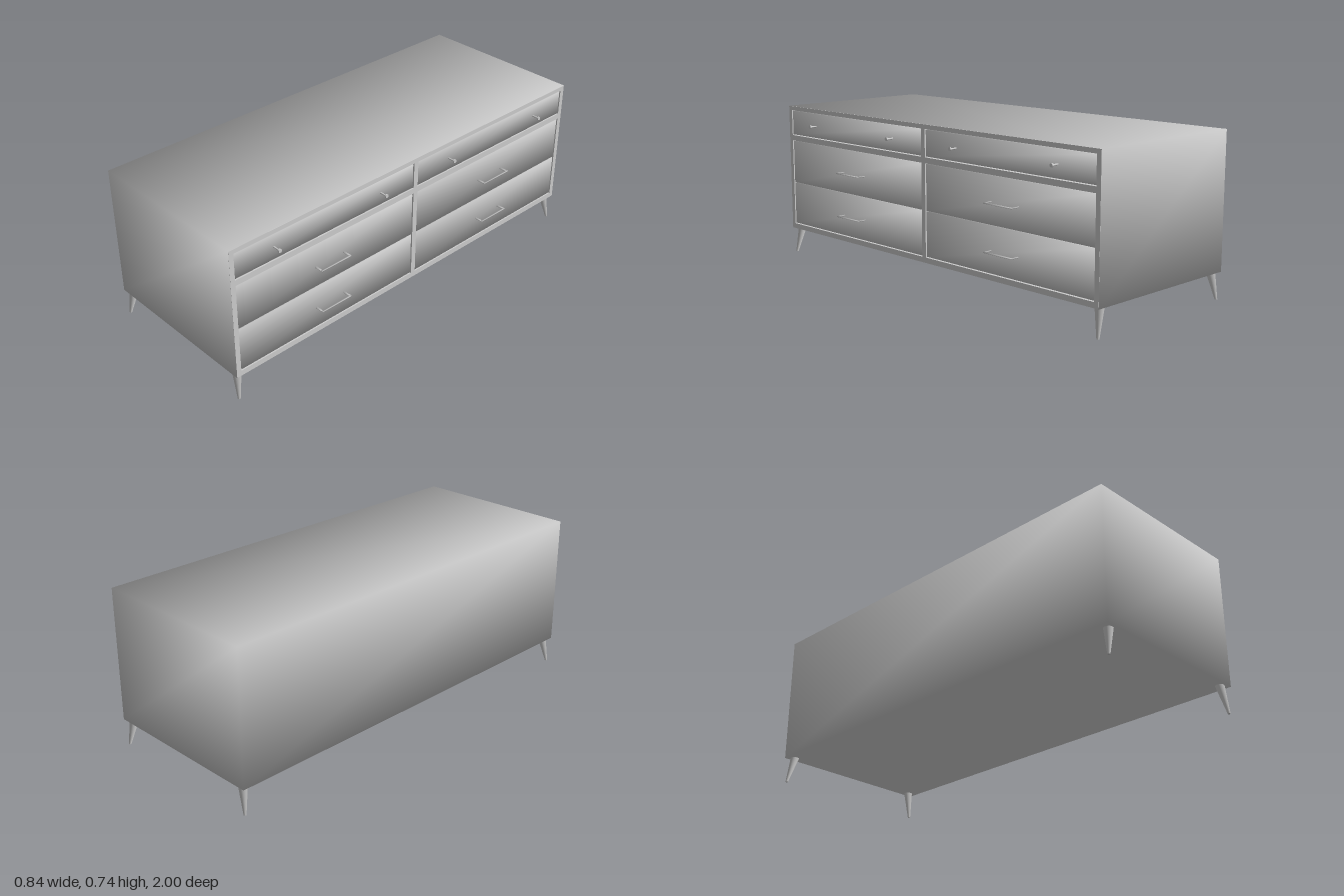
import * as THREE from 'three';

const material = new THREE.MeshStandardMaterial({ color: 0xcccccc });

// Main dimensions: drawers face +x, length runs along z
const BACK = -0.422, FACE = 0.382, RECESS = 0.02, BASE = 0.122, TOP = 0.735;
const IN = 0.012, OUT = 0.977; // |z| limits of each drawer bay
const PANEL = FACE - RECESS;

function add(parent, name, geometry, x = 0, y = 0, z = 0) {
  const mesh = new THREE.Mesh(geometry, material);
  mesh.name = name;
  mesh.position.set(x, y, z);
  parent.add(mesh);
  return mesh;
}

// Box given by its min and max corners, shaded smoothly across its edges:
// every corner normal points diagonally outward
function addSoftBox(parent, name, [x0, y0, z0], [x1, y1, z1]) {
  const geometry = new THREE.BoxGeometry(x1 - x0, y1 - y0, z1 - z0);
  const p = geometry.attributes.position, n = geometry.attributes.normal;
  const k = 1 / Math.sqrt(3);
  for (let i = 0; i < p.count; i++) {
    n.setXYZ(i, k * Math.sign(p.getX(i)), k * Math.sign(p.getY(i)), k * Math.sign(p.getZ(i)));
  }
  return add(parent, name, geometry, (x0 + x1) / 2, (y0 + y1) / 2, (z0 + z1) / 2);
}

function rectangle(target, x0, y0, x1, y1) {
  target.moveTo(x0, y0).lineTo(x1, y0).lineTo(x1, y1).lineTo(x0, y1).closePath();
  return target;
}

// Round knob on a thin stem, pointing along +x
function makeKnob() {
  const knob = new THREE.Group();
  knob.name = 'drawerKnob';
  const stem = new THREE.CylinderGeometry(0.0035, 0.0035, 0.05, 16).rotateZ(-Math.PI / 2);
  const head = new THREE.CylinderGeometry(0.008, 0.008, 0.007, 16).rotateZ(-Math.PI / 2);
  add(knob, 'knobStem', stem, 0.025);
  add(knob, 'knobHead', head, 0.0525);
  return knob;
}

// Bracket pull: two posts and a bar
function makePull() {
  const pull = new THREE.Group();
  pull.name = 'drawerPull';
  const high = 0.0025, thick = 0.007, half = 0.081, reach = 0.06;
  for (const s of [-1, 1]) {
    const z = s * (half - thick / 2);
    addSoftBox(pull, 'pullPost', [0, -high, z - thick / 2], [reach - thick, high, z + thick / 2]);
  }
  addSoftBox(pull, 'pullBar', [reach - thick, -high, -half], [reach, high, half]);
  return pull;
}

// Tapered leg whose foot is splayed outward by (dx, dz)
function makeLeg(dx, dz) {
  const geometry = new THREE.CylinderGeometry(0.02, 0.006, BASE, 20).translate(0, BASE / 2, 0);
  const p = geometry.attributes.position;
  for (let i = 0; i < p.count; i++) {
    const k = 1 - p.getY(i) / BASE;
    p.setX(i, p.getX(i) + dx * k);
    p.setZ(i, p.getZ(i) + dz * k);
  }
  return geometry;
}

export function createModel() {
  const model = new THREE.Group();
  model.name = 'dresser';

  // Cabinet shell, open on its +x side (the first two triangles of the box)
  const shell = addSoftBox(model, 'cabinetShell', [BACK, BASE, -1], [FACE, TOP, 1]).geometry;
  shell.setIndex(Array.from(shell.index.array).slice(6));

  // Panel closing the gaps behind the drawer fronts
  const panel = new THREE.BoxGeometry(0.01, TOP - BASE - 0.01, 1.99);
  add(model, 'innerPanel', panel, PANEL - 0.005, (BASE + TOP) / 2);

  // Face frame with a small and a large opening on each side, just inside the shell
  const e = 0.0005;
  const frame = rectangle(new THREE.Shape(), e - 1, BASE + e, 1 - e, TOP - e);
  for (const [y0, y1] of [[0.147, 0.566], [0.592, 0.715]]) {
    frame.holes.push(rectangle(new THREE.Path(), -OUT, y0, -IN, y1));
    frame.holes.push(rectangle(new THREE.Path(), IN, y0, OUT, y1));
  }
  const frameGeometry = new THREE.ExtrudeGeometry(frame, { depth: RECESS, bevelEnabled: false });
  add(model, 'faceFrame', frameGeometry.rotateY(Math.PI / 2), PANEL);

  // Drawer fronts, two bays of three, almost flush with the frame
  const drawers = [
    { y0: 0.151, y1: 0.353, handle: makePull, handleY: 0.248, offsets: [0] },
    { y0: 0.357, y1: 0.562, handle: makePull, handleY: 0.454, offsets: [0] },
    { y0: 0.596, y1: 0.711, handle: makeKnob, handleY: 0.652, offsets: [-0.287, 0.287] },
  ];
  const front = FACE - 0.003;
  for (const side of [-1, 1]) {
    const middle = side * (IN + OUT) / 2;
    const half = (OUT - IN) / 2 - 0.004;
    for (const { y0, y1, handle, handleY, offsets } of drawers) {
      addSoftBox(model, 'drawerFront', [PANEL, y0, middle - half], [front, y1, middle + half]);
      for (const offset of offsets) {
        const part = handle();
        part.position.set(PANEL, handleY, middle + offset);
        model.add(part);
      }
    }
  }

  // Splayed legs near the corners
  for (const z of [-1, 1]) {
    add(model, 'backLeg', makeLeg(-0.025, z * 0.016), -0.385, 0, z * 0.972);
    add(model, 'frontLeg', makeLeg(0.026, z * 0.016), 0.343, 0, z * 0.972);
  }
  return model;
}
